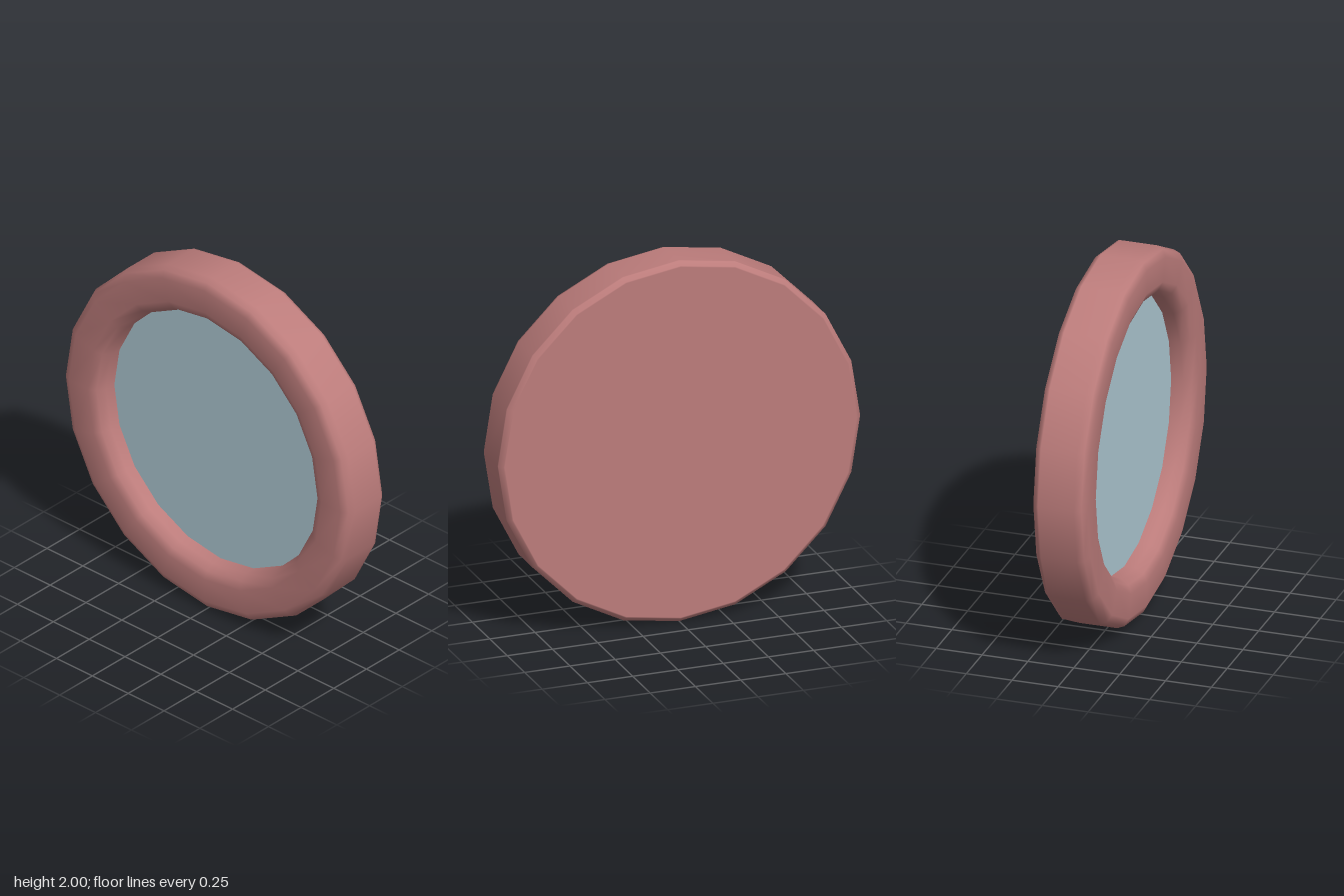
import * as THREE from 'three';

const SIDES = 20;

export function createModel() {
  const group = new THREE.Group();
  group.name = 'roundMirror';

  const frameMaterial = new THREE.MeshStandardMaterial({ color: 0xbc7c7b });
  frameMaterial.name = 'dusty rose frame';
  const glassMaterial = new THREE.MeshStandardMaterial({ color: 0xb0cad5 });
  glassMaterial.name = 'pale blue glass';

  // Frame: closed back, bevelled rim, rounded front and recess wall, as [radius, z] from back to front
  const profile = [
    [0, -0.142], [0.972, -0.142], [0.979, -0.142], [1, -0.12], [1, -0.11],
    [1, 0.085], [0.985, 0.122], [0.945, 0.142],
    [0.815, 0.142], [0.77, 0.122], [0.743, 0.08], [0.742, 0.015],
  ].map(([r, z]) => new THREE.Vector2(r, z));
  const frame = new THREE.Mesh(new THREE.LatheGeometry(profile, SIDES).rotateX(Math.PI / 2), frameMaterial);
  frame.name = 'frame';

  // Glass: flat disc set into the recess
  const glass = new THREE.Mesh(new THREE.CircleGeometry(0.742, SIDES), glassMaterial);
  glass.name = 'glass';
  glass.position.z = 0.018;

  group.add(frame, glass);
  group.children.forEach((part) => { part.position.y = 1; });
  return group;
}
